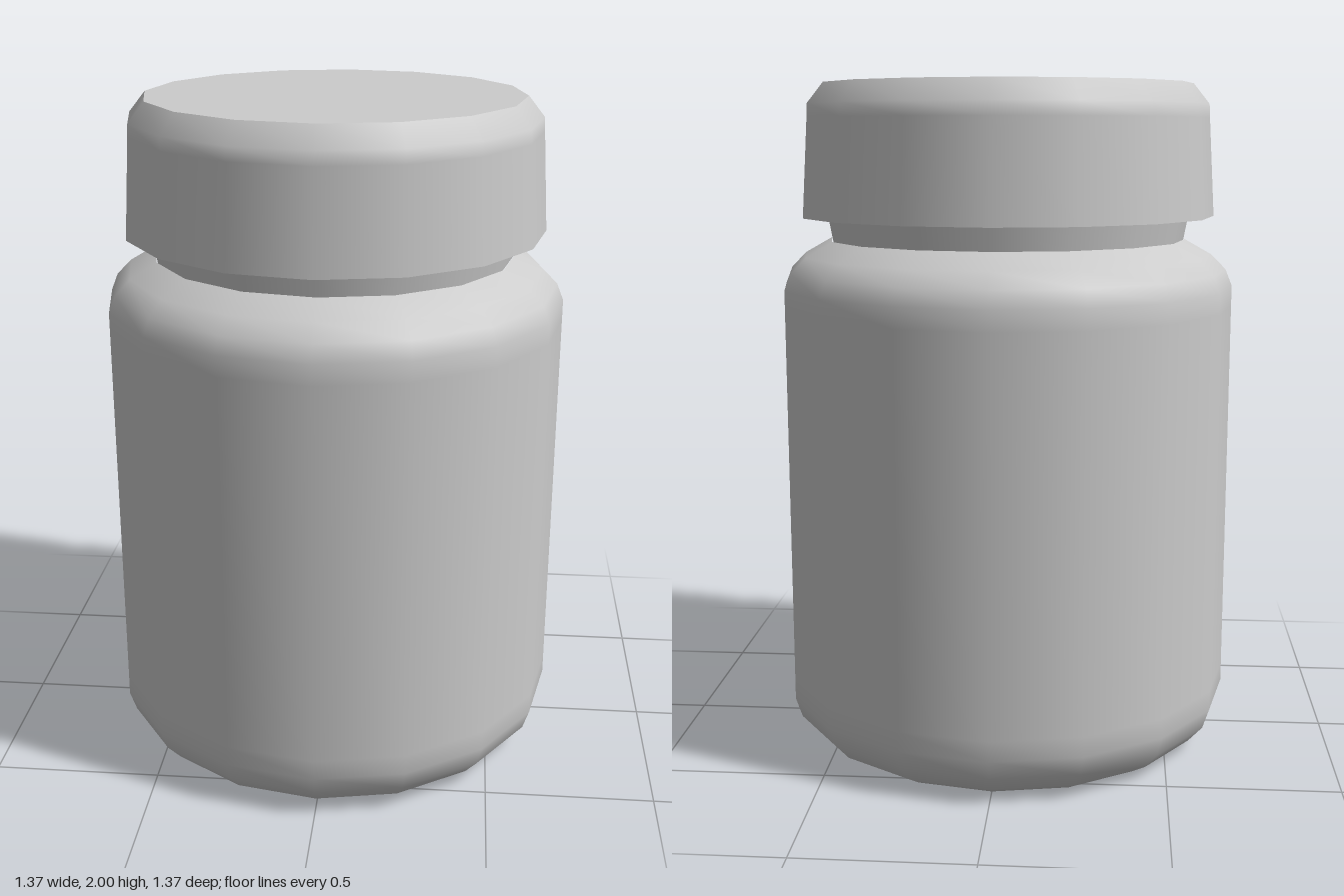
import * as THREE from 'three';

const SIDES = 16;

export function createModel() {
  const model = new THREE.Group();
  const plastic = new THREE.MeshStandardMaterial({ color: 0xcccccc });
  plastic.name = 'light grey plastic';

  // Each profile runs from the underside outwards and up; separate runs keep hard edges.
  const turned = (name, profile, parent) => {
    const points = profile.map(([r, y]) => new THREE.Vector2(r, y));
    const mesh = new THREE.Mesh(new THREE.LatheGeometry(points, SIDES), plastic);
    mesh.name = name;
    parent.add(mesh);
  };

  // Bottle: recessed base, rounded foot, straight wall and sloping shoulder
  const bottle = new THREE.Group();
  bottle.name = 'bottle';
  turned('bottleBody', [
    [0, 0.07], [0.38, 0.06], [0.46, 0.035], [0.52, 0.005], [0.57, 0],
    [0.62, 0.03], [0.665, 0.08], [0.685, 0.14],
    [0.685, 0.2], [0.685, 1.34], [0.685, 1.4],
    [0.665, 1.45], [0.62, 1.495], [0.54, 1.54],
  ], bottle);
  turned('neck', [[0.535, 1.535], [0.55, 1.615]], bottle);

  // Cap: flat underside, tapered wall with a bevelled rim, flat top
  const cap = new THREE.Group();
  cap.name = 'cap';
  turned('capUnderside', [[0.5, 1.61], [0.625, 1.61]], cap);
  turned('capWall', [[0.625, 1.61], [0.607, 1.9], [0.605, 1.94], [0.557, 2]], cap);
  turned('capTop', [[0.557, 2], [0, 2]], cap);

  model.add(bottle, cap);
  return model;
}
